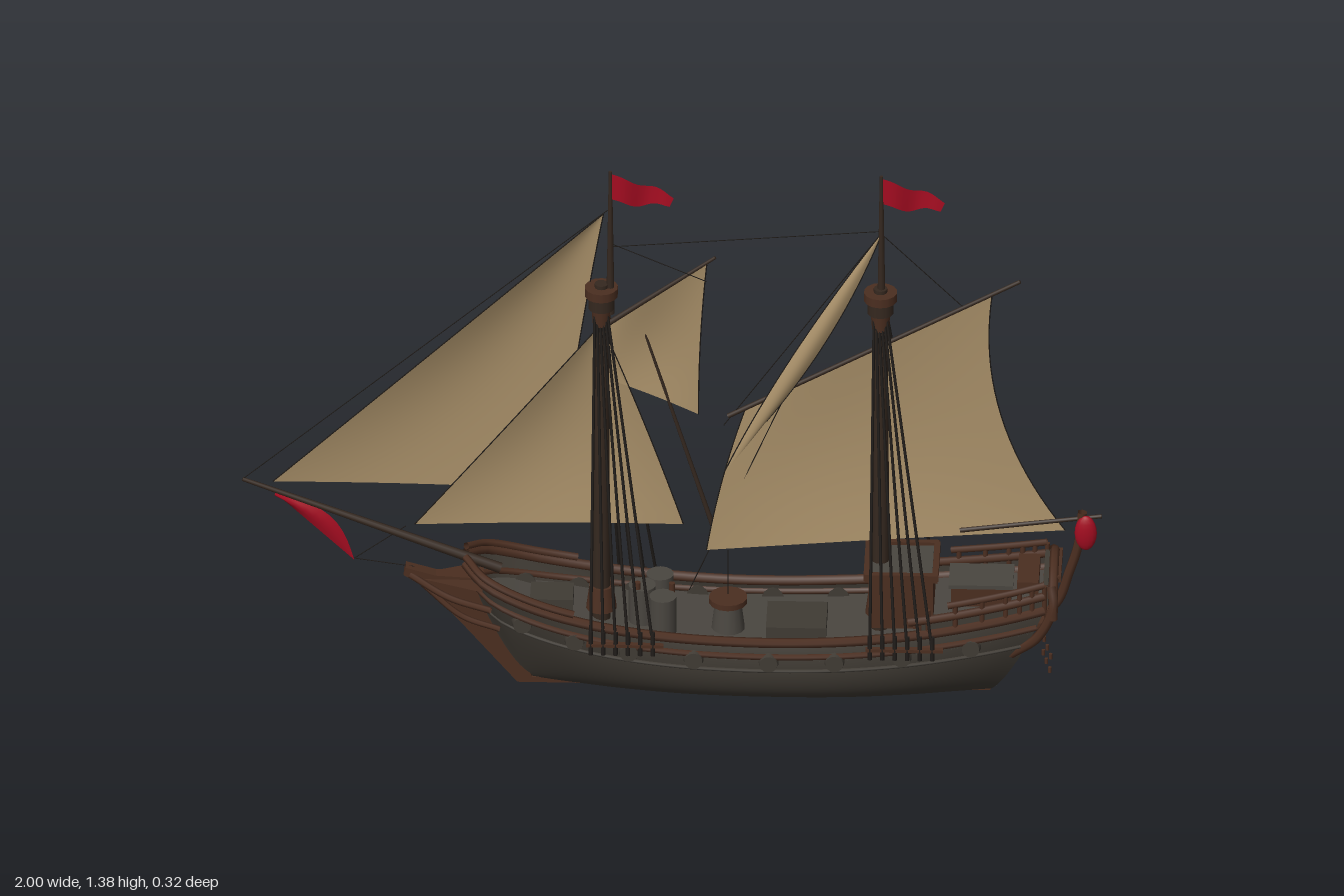
import * as THREE from 'three';

const V = (x, y, z = 0) => new THREE.Vector3(x, y, z);
const mat = (name, color, side = THREE.FrontSide) => {
  const m = new THREE.MeshStandardMaterial({ color, side });
  m.name = name;
  return m;
};

export function createModel() {
  const ship = new THREE.Group();
  ship.name = 'sailingShip';
  const tar = mat('tarredPlanks', 0x403b34, THREE.DoubleSide);
  const deckGrey = mat('deckPlanks', 0x4a4640, THREE.DoubleSide);
  const trim = mat('brownTrim', 0x4b2e20, THREE.DoubleSide);
  const spar = mat('sparWood', 0x35281f);
  const rope = mat('rope', 0x1f1b18);
  const canvas = mat('canvas', 0xa99069, THREE.DoubleSide);
  const red = mat('redCloth', 0xa20c20, THREE.DoubleSide);

  const add = (name, geo, material, p) => {
    const m = new THREE.Mesh(geo, material);
    m.name = name;
    if (p) m.position.copy(p);
    ship.add(m);
    return m;
  };
  const box = (name, x, y, z, w, h, d, m) => add(name, new THREE.BoxGeometry(w, h, d), m, V(x, y, z));
  const cyl = (name, x, y, z, r1, r2, h, m) => add(name, new THREE.CylinderGeometry(r1, r2, h, 14), m, V(x, y, z));
  // Tapered rod between two points
  const rod = (name, a, b, r0, r1, m, sides = 8) => {
    const o = add(name, new THREE.CylinderGeometry(r1, r0, a.distanceTo(b), sides), m, a.clone().lerp(b, 0.5));
    o.quaternion.setFromUnitVectors(V(0, 1, 0), b.clone().sub(a).normalize());
    return o;
  };
  const tube = (name, pts, r, m, n = 40) =>
    add(name, new THREE.TubeGeometry(new THREE.CatmullRomCurve3(pts), n, r, 6), m);
  // Surface from a rule f(u, v)
  const surf = (name, f, nu, nv, m) => {
    const pos = [], idx = [];
    for (let i = 0; i <= nu; i++) for (let j = 0; j <= nv; j++) {
      pos.push(...f(i / nu, j / nv).toArray());
      if (i < nu && j < nv) {
        const a = i * (nv + 1) + j, b = a + nv + 1;
        idx.push(a, b, a + 1, b, b + 1, a + 1);
      }
    }
    const g = new THREE.BufferGeometry();
    g.setAttribute('position', new THREE.Float32BufferAttribute(pos, 3));
    g.setIndex(idx);
    g.computeVertexNormals();
    return add(name, g, m);
  };

  // Hull: sheer line holds x, height and half width
  const sheer = new THREE.CatmullRomCurve3([
    V(-0.48, 0.325, 0.025), V(-0.43, 0.3, 0.085), V(-0.3, 0.255, 0.125), V(-0.1, 0.215, 0.145), V(0.15, 0.195, 0.15),
    V(0.4, 0.2, 0.15), V(0.6, 0.22, 0.138), V(0.78, 0.25, 0.115), V(0.87, 0.27, 0.1)]);
  const hullAt = (u, v, s) => {
    const p = sheer.getPoint(u), t = THREE.MathUtils.clamp((p.x + 0.48) / 1.35, 0, 1);
    // Round bilge with a slight tumblehome
    const full = v < 0.65 ? 0.38 + 0.62 * Math.sqrt(1 - (1 - v / 0.65) ** 2) : 1 - 0.07 * ((v - 0.65) / 0.35) ** 2;
    const fine = t < 0.5 ? v ** 0.9 : 0.12 + 0.88 * Math.sin(Math.PI / 2 * v);
    const k = t < 0.5 ? Math.sin(Math.PI * t) ** 0.6 : 1 - 0.6 * (2 * t - 1) ** 3;
    return V(THREE.MathUtils.lerp(-0.35 + 1.09 * t, p.x, v ** 0.8), 0.01 + (p.y - 0.01) * v,
      s * p.z * THREE.MathUtils.lerp(fine, full, k));
  };
  const across = (u, v, s) => hullAt(u, v, 1).lerp(hullAt(u, v, -1), s);
  const along = (v, s, u0 = 0, u1 = 1, lift = 0) => Array.from({ length: 17 }, (_, i) => {
    const p = hullAt(u0 + (u1 - u0) * i / 16, v, s);
    p.y += lift;
    return p;
  });
  // Find the hull side at a given x
  const sideAt = (x, v, s) => {
    let best = hullAt(0, v, s);
    for (let i = 1; i <= 100; i++) {
      const p = hullAt(i / 100, v, s);
      if (Math.abs(p.x - x) < Math.abs(best.x - x)) best = p;
    }
    return best;
  };
  surf('hullBottom', (u, s) => across(u, 0, s), 40, 2, tar);
  surf('mainDeck', (u, s) => across(u, 0.76, s), 40, 2, deckGrey);
  surf('transom', (v, s) => across(1, v, s), 14, 4, tar);
  surf('quarterDeck', (u, s) => across(0.74 + 0.26 * u, 1, s), 14, 2, deckGrey);
  surf('quarterDeckFront', (v, s) => across(0.74, 0.76 + 0.24 * v, s), 2, 2, trim);
  surf('bowBulkhead', (v, s) => across(0, v, s), 10, 2, tar);
  for (const s of [1, -1]) {
    surf('hullSide', (u, v) => hullAt(u, v ** 1.5, s), 60, 20, tar);
    tube('sheerRail', along(1, s), 0.012, trim);
    tube('wale', along(0.82, s), 0.008, trim);
    tube('lowerWale', along(0.62, s), 0.005, tar);
    // Planked quarter bulwark with rails
    surf('quarterBulwark', (u, v) => hullAt(0.74 + 0.26 * u, 1, s).add(V(0, 0.038 * v, 0)), 12, 1, tar);
    tube('quarterRail', along(1, s, 0.72, 1, 0.038), 0.01, trim);
    tube('upperQuarterRail', along(1, s, 0.78, 1, 0.068), 0.008, trim);
    tube('bowRail', along(1, s, 0, 0.3, 0.018), 0.009, trim);
    for (let i = 0; i < 7; i++) {
      const p = hullAt(0.75 + 0.25 * i / 6, 1, s);
      cyl('railPost', p.x, p.y + 0.03, p.z, 0.006, 0.006, 0.07, trim);
    }
    // Round gun port bosses
    for (const x of [-0.35, -0.22, -0.09, 0.06, 0.22, 0.38, 0.54, 0.7]) {
      const p = sideAt(x, 0.74, s);
      const port = cyl('gunPort', p.x, p.y, p.z, 0.021, 0.026, 0.02, tar);
      port.rotation.x = s * Math.PI / 2;
    }
    // Head rails under the bowsprit
    tube('headRail', [V(-0.61, 0.285, s * 0.012), V(-0.52, 0.245, s * 0.045), V(-0.42, 0.235, s * 0.085)], 0.008, trim);
    tube('lowerHeadRail', [V(-0.58, 0.26, s * 0.012), V(-0.49, 0.19, s * 0.035), V(-0.4, 0.17, s * 0.06)], 0.007, trim);
    // Stern quarter piece
    tube('quarterPiece', [V(0.79, 0.14, s * 0.08), V(0.855, 0.2, s * 0.1), V(0.89, 0.28, s * 0.1), V(0.885, 0.33, s * 0.085)], 0.012, trim);
    // Hanging stern tackle
    for (const [x, y] of [[0.865, 0.115], [0.872, 0.092], [0.88, 0.068]])
      cyl('tackleBlock', x, y, s * 0.03, 0.004, 0.004, 0.014, trim);
  }

  // Keel, stem and sternpost
  box('keel', 0.19, 0.007, 0, 1.1, 0.014, 0.03, trim);
  const profile = (name, pts, d) => add(name, new THREE.ExtrudeGeometry(
    new THREE.Shape(pts.map(p => new THREE.Vector2(...p))), { depth: d, bevelEnabled: false }), trim, V(0, 0, -d / 2));
  profile('stemAndBeak', [[-0.32, 0], [-0.34, 0.05], [-0.42, 0.2], [-0.46, 0.28], [-0.55, 0.285], [-0.62, 0.305],
    [-0.625, 0.285], [-0.57, 0.25], [-0.5, 0.17], [-0.36, 0]], 0.03);
  profile('sternpost', [[0.69, 0], [0.74, 0], [0.78, 0.06], [0.82, 0.14], [0.87, 0.2], [0.85, 0.22], [0.78, 0.17]], 0.028);
  surf('beakPlatform', (u, s) => V(-0.58 + 0.14 * u, 0.275, (s - 0.5) * (0.03 + 0.11 * u)), 4, 2, trim);

  // Stern decoration
  tube('sternArch', Array.from({ length: 13 }, (_, i) => {
    const a = Math.PI * i / 12;
    return V(0.89, 0.25 + 0.11 * Math.sin(a), 0.105 * Math.cos(a));
  }), 0.011, trim);
  for (const [y, w] of [[0.225, 0.19], [0.265, 0.2], [0.305, 0.18], [0.335, 0.13]])
    box('sternMoulding', 0.85 + (y - 0.2) * 0.35, y, 0, 0.02, 0.016, w, trim);
  box('sternPanel', 0.872, 0.295, 0, 0.012, 0.06, 0.17, tar);
  tube('sternHorn', [V(0.83, 0.18), V(0.895, 0.235), V(0.925, 0.32), V(0.945, 0.39), V(0.955, 0.48)], 0.012, trim);
  const furled = add('furledFlag', new THREE.SphereGeometry(1, 14, 10), red, V(0.963, 0.43, 0.01));
  furled.scale.set(0.026, 0.046, 0.014);

  // Cabin and deck fittings
  box('cabin', 0.535, 0.265, 0, 0.15, 0.13, 0.15, trim);
  box('cabinRoof', 0.535, 0.336, 0, 0.145, 0.012, 0.13, deckGrey);
  for (const s of [1, -1]) box('cabinRoofRail', 0.535, 0.338, s * 0.075, 0.17, 0.02, 0.014, trim);
  for (const x of [0.455, 0.615]) box('cabinRoofBeam', x, 0.338, 0, 0.014, 0.02, 0.15, trim);
  box('skylight', 0.72, 0.27, 0, 0.14, 0.05, 0.09, trim);
  box('skylightRoof', 0.72, 0.3, 0, 0.15, 0.01, 0.1, deckGrey);
  box('sternBench', 0.83, 0.31, 0, 0.05, 0.03, 0.13, trim);
  box('cargoHatch', 0.29, 0.172, 0, 0.14, 0.03, 0.12, tar);
  box('foreHatch', -0.28, 0.225, 0, 0.1, 0.03, 0.08, tar);
  cyl('capstan', 0.13, 0.185, 0, 0.03, 0.04, 0.08, deckGrey);
  cyl('capstanHead', 0.13, 0.227, 0, 0.045, 0.045, 0.014, trim);
  for (const [x, z] of [[-0.02, 0.05], [-0.03, -0.05], [-0.07, 0.0]]) cyl('barrel', x, 0.215, z, 0.032, 0.032, 0.095, deckGrey);
  for (const x of [-0.08, 0.0]) cyl('bittPost', x, 0.22, 0.02, 0.007, 0.007, 0.12, trim);

  // Masts, tops and shrouds
  for (const [x, dx, n] of [[-0.165, 0.021, 'fore'], [0.485, 0.002, 'main']]) {
    rod(n + 'Mast', V(x, 0.15), V(x, 1.08), 0.022, 0.016, spar, 12);
    rod(n + 'Topmast', V(x + dx, 1.0), V(x + dx, 1.385), 0.01, 0.004, spar);
    cyl(n + 'MastCollar', x, 0.23, 0, 0.028, 0.036, 0.06, trim);
    cyl(n + 'TopBase', x, 0.995, 0, 0.024, 0.02, 0.05, trim);
    cyl(n + 'TopBody', x, 1.035, 0, 0.031, 0.031, 0.04, spar);
    cyl(n + 'TopRim', x, 1.06, 0, 0.039, 0.039, 0.022, trim);
    for (const s of [1, -1]) {
      box(n + 'Channel', x + 0.06, 0.185, s * 0.146, 0.18, 0.008, 0.014, trim);
      for (let i = 0; i < 6; i++) {
        const foot = V(x - 0.02 + i * 0.029, 0.19, s * 0.15);
        rod(n + 'Shroud', foot, V(x + (i - 2.5) * 0.006, 1.0, s * 0.012), 0.0038, 0.0035, rope, 5);
        rod(n + 'Deadeye', foot.clone().add(V(0, -0.03, 0)), foot.clone().add(V(0, 0.03, -s * 0.005)), 0.006, 0.006, rope, 6);
      }
    }
    // Waving, drooping pennant
    surf(n + 'Flag', (u, v) => V(x + dx + u * 0.148 - 0.01 * v * u,
      1.378 - 0.055 * u - v * (0.068 - 0.045 * u * u) + 0.006 * Math.sin(u * 10), 0.008 * Math.sin(u * 8)), 14, 4, red);
  }

  // Spars
  rod('bowsprit', V(-0.4, 0.3), V(-1, 0.53), 0.013, 0.005, spar);
  rod('foreGaff', V(-0.15, 0.965, -0.01), V(0.1, 1.15, -0.01), 0.007, 0.004, spar);
  rod('mainYard', V(0.13, 0.725, 0), V(0.81, 1.105, 0), 0.006, 0.005, spar);
  rod('mizzenBoom', V(0.67, 0.425), V(1, 0.47), 0.006, 0.005, spar);
  rod('slackSpar', V(-0.065, 0.93, -0.03), V(0.1, 0.385, -0.03), 0.003, 0.006, spar);

  // Sails: ruled between a luff and a leech, each [start, control, end], with a belly in z
  const sail = (name, luff, leech, belly) => {
    const a = new THREE.QuadraticBezierCurve3(...luff), b = new THREE.QuadraticBezierCurve3(...leech);
    const f = (u, v) => {
      const p = a.getPoint(v).lerp(b.getPoint(v), u);
      p.z += belly * Math.sin(Math.PI * u) * Math.sin(Math.PI * Math.min(v * 0.9, 1));
      return p;
    };
    surf(name, f, 16, 20, canvas);
    for (const c of [a, b]) add(name + 'BoltRope', new THREE.TubeGeometry(c, 20, 0.0015, 5), rope);
  };
  const head = V(-0.16, 1.27);
  sail('outerJib', [head, V(-0.54, 0.9), V(-0.93, 0.525)], [head, V(-0.23, 0.85, -0.05), V(-0.27, 0.48, -0.06)], -0.025);
  const inner = V(-0.165, 0.97);
  sail('innerJib', [inner, V(-0.38, 0.69), V(-0.6, 0.415)], [inner, V(-0.06, 0.68, -0.03), V(0.025, 0.41, -0.03)], -0.025);
  sail('foreGaffSail', [V(-0.15, 0.965, -0.01), V(-0.145, 0.88, -0.01), V(-0.14, 0.81, -0.01)],
    [V(0.08, 1.13, -0.01), V(0.06, 0.92, -0.03), V(0.06, 0.71, -0.03)], -0.015);
  sail('mainSail', [V(0.17, 0.745, 0), V(0.11, 0.56, 0.005), V(0.08, 0.365, 0.01)],
    [V(0.745, 1.068, 0), V(0.7, 0.72, -0.02), V(0.915, 0.43, 0)], -0.012);
  const stayHead = V(0.49, 1.235);
  sail('topmastStaysail', [stayHead, V(0.25, 0.88, 0.015), V(0.12, 0.58, 0.02)],
    [stayHead, V(0.39, 0.95, 0.005), V(0.22, 0.72, 0.012)], 0.01);

  // Red banner under the bowsprit
  surf('bowBanner', (u, v) => V(-0.925 + 0.185 * u + v * 0.035 * Math.sin(Math.PI * u), 0.495 - 0.18 * u + v * 0.03 * Math.sin(Math.PI * u),
    0.014 * Math.sin(Math.PI * v) * (1 - u)), 10, 4, red);

  // Stays and running lines
  for (const [a, b] of [
    [V(-1, 0.53), V(-0.15, 1.28)], [V(-0.145, 1.18), V(0.487, 1.235)], [V(0.49, 1.225), V(0.68, 1.03)],
    [V(-0.145, 1.19), V(0.08, 1.09)], [V(0.487, 1.23), V(0.12, 0.7)], [V(0.27, 0.8), V(0.04, 0.25)],
    [V(-0.74, 0.32), V(-0.6, 0.3)], [V(-0.62, 0.41), V(-0.74, 0.32)], [V(0.13, 0.36), V(0.13, 0.24)]])
    rod('stay', a, b, 0.0012, 0.0012, rope, 4);

  return ship;
}
